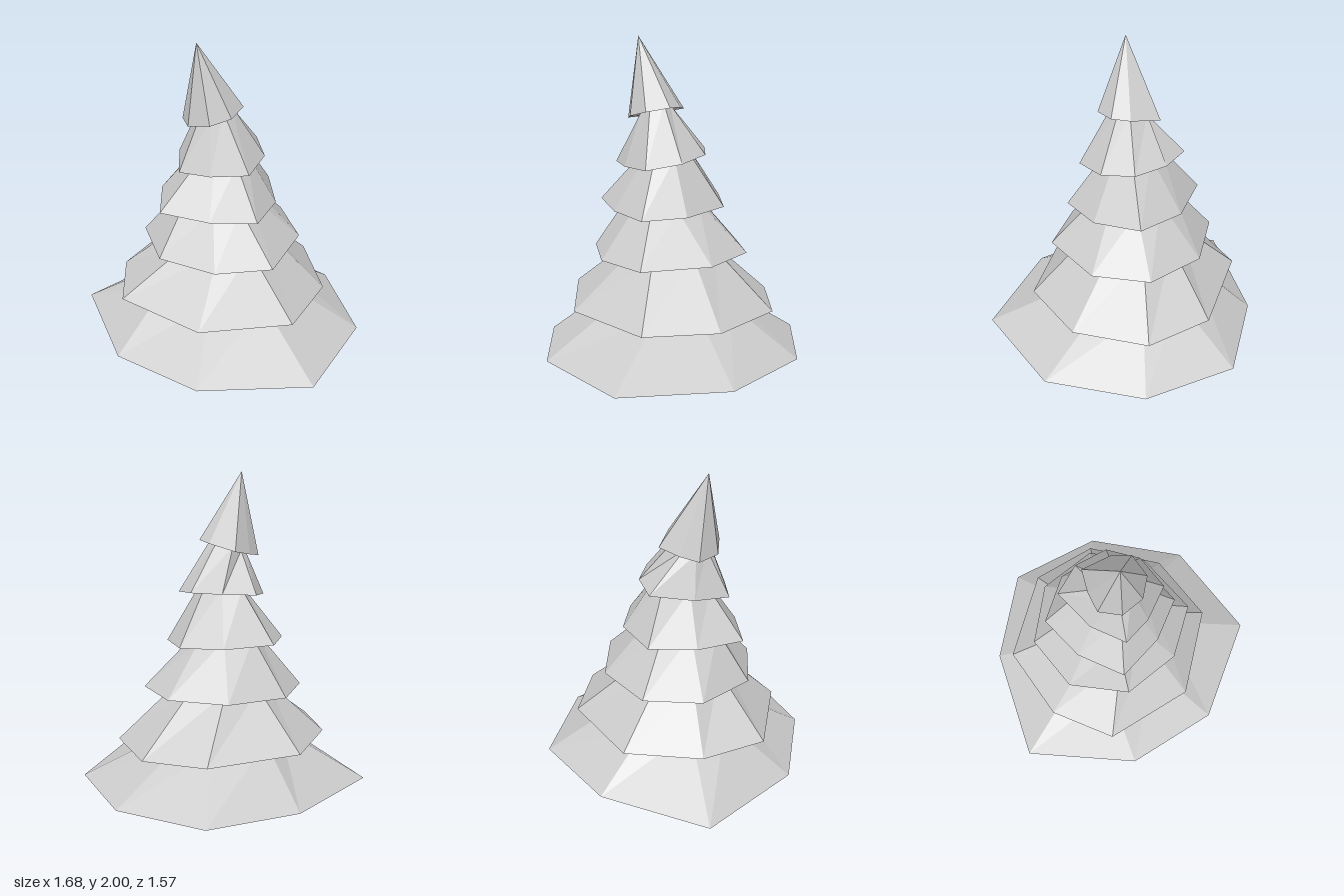
import * as THREE from 'three';

const SIDES = 8;

// Rim outlines as [x, z] going left, back, right, front; height y with a tilt along x and z
const tiers = [
  { y: 0.195, tx: 0, tz: 0, rim: [[-0.84, 0], [-0.44, -0.55], [0.07, -0.79], [0.58, -0.54], [0.84, 0], [0.66, 0.61], [0.03, 0.78], [-0.49, 0.57]] },
  { y: 0.465, tx: -0.04, tz: -0.01, rim: [[-0.59, 0.02], [-0.44, -0.41], [0.07, -0.6], [0.44, -0.45], [0.62, -0.03], [0.5, 0.39], [0, 0.6], [-0.5, 0.4]] },
  { y: 0.77, tx: 0, tz: -0.02, rim: [[-0.45, 0.05], [-0.36, -0.28], [-0.04, -0.44], [0.3, -0.35], [0.46, -0.05], [0.37, 0.34], [0.06, 0.45], [-0.28, 0.36]] },
  { y: 1.045, tx: -0.04, tz: -0.05, rim: [[-0.34, 0.04], [-0.29, -0.23], [-0.01, -0.32], [0.24, -0.23], [0.33, 0.04], [0.27, 0.29], [0.01, 0.35], [-0.28, 0.32]] },
  { y: 1.32, tx: 0.02, tz: -0.15, rim: [[-0.23, 0.05], [-0.19, -0.2], [0, -0.22], [0.18, -0.14], [0.26, 0.04], [0.21, 0.24], [0, 0.28], [-0.18, 0.26]] },
  { y: 1.585, tx: 0.26, tz: -0.08, rim: [[-0.2, 0.08], [-0.15, -0.02], [-0.07, -0.12], [0.08, -0.03], [0.14, 0.06], [0.1, 0.19], [-0.01, 0.24], [-0.14, 0.2]] },
];

const rimRing = (t) => t.rim.map(([x, z]) => [x, t.y + t.tx * x + t.tz * z, z]);

// A ring drawn in towards its centre and lifted: where a tier meets the one above
function neckRing(t, scale = 0.58, lift = 0.015) {
  const ring = rimRing(t);
  const c = [0, 2].map((k) => ring.reduce((s, p) => s + p[k], 0) / SIDES);
  return ring.map(([x, y, z]) => [c[0] + (x - c[0]) * scale, y + lift, c[1] + (z - c[1]) * scale]);
}

const roundRing = (x, y, z, rx, rz = rx, turn = 0) =>
  Array.from({ length: SIDES }, (_, i) => {
    const a = Math.PI + turn + (i / SIDES) * Math.PI * 2;
    return [x + rx * Math.cos(a), y, z + rz * Math.sin(a)];
  });

const pointRing = (x, y, z) => Array.from({ length: SIDES }, () => [x, y, z]);

// Skin a stack of rings, leaving out triangles collapsed at a point
function loft(name, rings, material) {
  const pos = [];
  const same = (p, q) => p.every((v, k) => v === q[k]);
  const tri = (p, q, r) => {
    if (!same(p, q) && !same(q, r) && !same(p, r)) pos.push(...p, ...q, ...r);
  };
  for (let r = 0; r < rings.length - 1; r++) {
    for (let i = 0; i < SIDES; i++) {
      const j = (i + 1) % SIDES;
      const a = rings[r][i], b = rings[r][j], c = rings[r + 1][j], d = rings[r + 1][i];
      tri(b, a, d);
      tri(b, d, c);
    }
  }
  const geo = new THREE.BufferGeometry();
  geo.setAttribute('position', new THREE.Float32BufferAttribute(pos, 3));
  geo.computeVertexNormals();
  const mesh = new THREE.Mesh(geo, material);
  mesh.name = name;
  return mesh;
}

export function createModel() {
  const group = new THREE.Group();
  group.name = 'pineTree';
  const material = new THREE.MeshStandardMaterial({ color: 0xcccccc, flatShading: true });

  // Trunk flaring towards the ground
  group.add(loft('trunk', [
    pointRing(0.02, 0, 0),
    roundRing(0.02, 0.006, 0, 0.175, 0.145, 0.15),
    roundRing(0.02, 0.12, 0.01, 0.115, 0.1, 0.15),
    roundRing(0.02, 0.27, 0.01, 0.085, 0.08, 0.15),
  ], material));

  // Branch tiers: underside, rim, then slope up to the next neck or the leaning tip
  tiers.forEach((t, i) => {
    const under = i === 0 ? [roundRing(0.02, 0.23, 0.01, 0.08), roundRing(0.02, 0.22, 0, 0.35)] : [neckRing(t)];
    const top = i < tiers.length - 1 ? neckRing(tiers[i + 1]) : pointRing(-0.1, 2, 0.15);
    group.add(loft(i < tiers.length - 1 ? `branchTier${i + 1}` : 'treeTop', [...under, rimRing(t), top], material));
  });

  return group;
}
